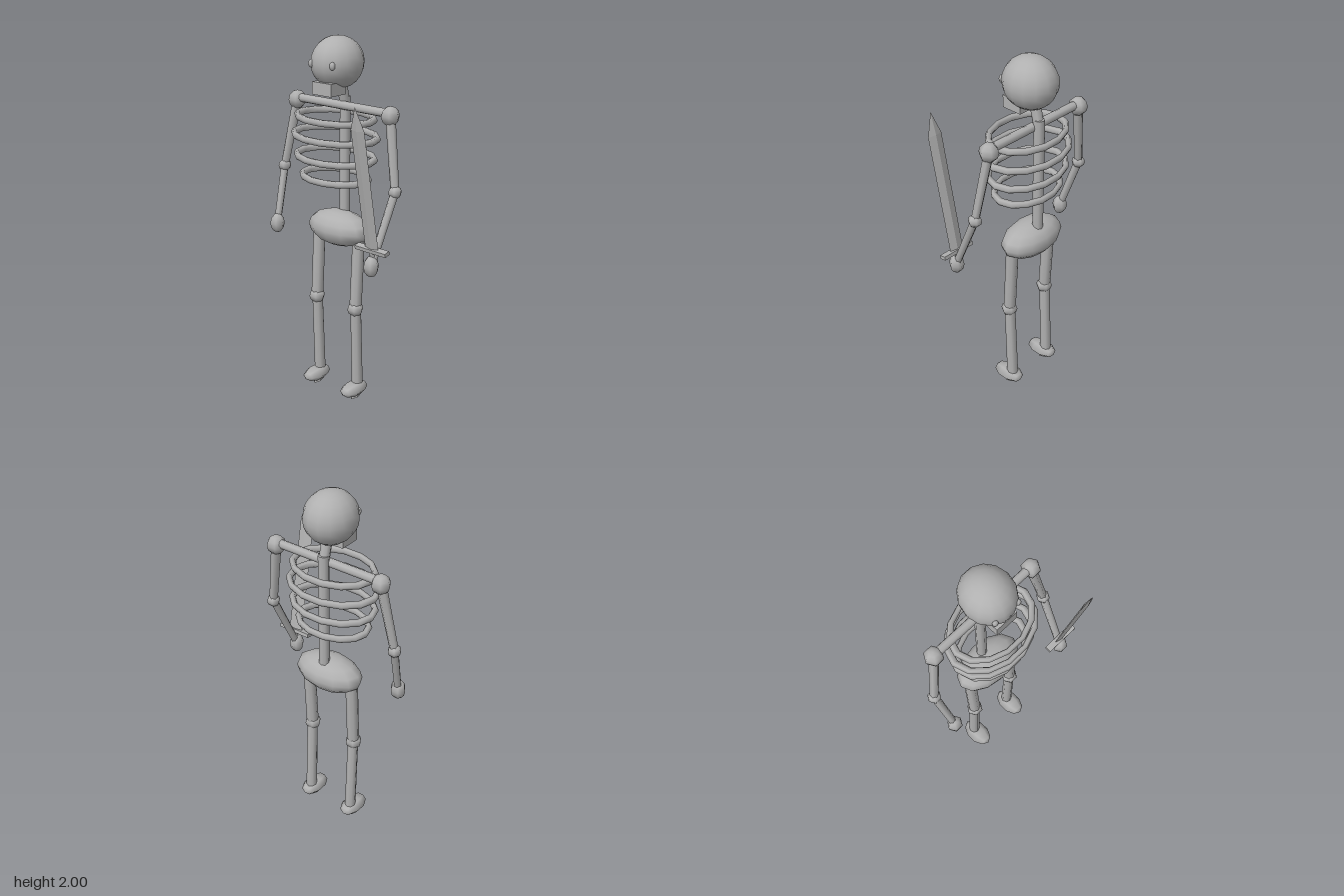
import * as THREE from 'three';

const bone = new THREE.MeshStandardMaterial({ color: 0xb0b0b0 });
bone.name = 'boneGrey';
const CX = -0.025; // centre line of the body

export function createModel() {
  const model = new THREE.Group();
  model.name = 'skeletonWarrior';

  function add(name, geometry, x = 0, y = 0, z = 0, parent = model) {
    const mesh = new THREE.Mesh(geometry, bone);
    mesh.name = name;
    mesh.position.set(x, y, z);
    parent.add(mesh);
    return mesh;
  }

  // Scaled sphere
  function ball(name, p, r, w = 6, h = 6) {
    const g = new THREE.SphereGeometry(1, w, h).scale(r[0], r[1], r[2]);
    return add(name, g, ...p);
  }

  // Straight round bone between two points
  function rod(name, a, b, ra, rb = ra, sides = 8) {
    const from = new THREE.Vector3(...a), to = new THREE.Vector3(...b);
    const dir = to.clone().sub(from);
    const mesh = add(name, new THREE.CylinderGeometry(rb, ra, dir.length(), sides));
    mesh.position.copy(from).add(to).multiplyScalar(0.5);
    mesh.quaternion.setFromUnitVectors(new THREE.Vector3(0, 1, 0), dir.normalize());
    return mesh;
  }

  const flat = (g) => {
    const f = g.toNonIndexed();
    f.computeVertexNormals();
    return f;
  };

  // Head
  ball('skull', [CX, 1.865, -0.067], [0.133, 0.135, 0.145], 14, 12);
  for (const s of [-1, 1]) {
    ball(s > 0 ? 'leftEye' : 'rightEye', [CX + s * 0.071, 1.865, 0.053], [0.016, 0.021, 0.014], 8, 6);
  }
  add('jaw', new THREE.BoxGeometry(0.127, 0.065, 0.115), CX, 1.743, -0.002);

  // Spine, neck and collar
  rod('spine', [CX, 0.98, -0.127], [CX, 1.685, -0.127], 0.028);
  rod('neck', [CX, 1.65, -0.125], [CX, 1.79, -0.09], 0.027);
  rod('collarBone', [-0.34, 1.64, -0.1], [0.292, 1.64, -0.1], 0.023);

  // Rib hoops: height and outer half width
  [[1.587, 0.241], [1.49, 0.261], [1.378, 0.246], [1.27, 0.214]].forEach(([y, r], i) => {
    const g = new THREE.TorusGeometry(r - 0.019, 0.019, 6, 14).rotateX(Math.PI / 2).scale(1, 1, 0.74);
    add('rib' + (i + 1), g, CX, y, -0.05);
  });

  ball('pelvis', [CX, 0.978, -0.085], [0.197, 0.097, 0.117], 12, 8);

  // Arms: shoulder, elbow, hand
  const arms = {
    right: [[-0.342, 1.628, -0.102], [-0.409, 1.257, -0.065], [-0.38, 0.95, 0.031]],
    left: [[0.292, 1.628, -0.102], [0.36, 1.257, -0.065], [0.346, 0.902, 0.098]],
  };
  for (const [side, [shoulder, elbow, hand]] of Object.entries(arms)) {
    ball(side + 'Shoulder', shoulder, [0.05, 0.05, 0.05]);
    ball(side + 'Elbow', elbow, [0.036, 0.034, 0.036]);
    ball(side + 'Hand', hand, [0.043, 0.055, 0.04]);
    rod(side + 'UpperArm', shoulder, elbow, 0.026, 0.022, 6);
    rod(side + 'Forearm', elbow, hand, 0.022, 0.02, 6);
  }

  // Legs
  for (const s of [-1, 1]) {
    const side = s > 0 ? 'left' : 'right';
    const x = CX + s * 0.14;
    rod(side + 'Thigh', [x, 0.96, -0.08], [x, 0.548, -0.058], 0.033);
    ball(side + 'Knee', [x, 0.548, -0.056], [0.046, 0.042, 0.044]);
    rod(side + 'Shin', [x, 0.548, -0.06], [x, 0.05, -0.08], 0.029, 0.031);

    // Foot with its long axis forward
    const foot = new THREE.SphereGeometry(1, 6, 5).rotateX(Math.PI / 2).scale(0.06, 0.04, 0.094);
    add(side + 'Foot', foot, x, 0.063, -0.05);

    // Slanted heel end under the foot
    const heel = new THREE.CylinderGeometry(0.03, 0.03, 0.06, 6).scale(1, 1, 1.65);
    const p = heel.attributes.position;
    for (let i = 0; i < p.count; i++) {
      if (p.getY(i) < 0) p.setY(i, -0.02 - p.getZ(i) * 0.46);
      else p.setZ(i, p.getZ(i) * 0.6);
    }
    add(side + 'Heel', flat(heel), x, 0.044, -0.077);
  }

  // Sword, leaning forward out of the left hand
  const sword = new THREE.Group();
  sword.name = 'sword';
  sword.position.set(0.346, 0.99, 0.094);
  sword.rotation.x = 0.188;
  model.add(sword);
  const blade = flat(new THREE.CylinderGeometry(0.042, 0.042, 0.64, 4).scale(1, 1, 0.25));
  add('blade', blade, 0, 0.32, 0, sword);
  const tip = flat(new THREE.ConeGeometry(0.042, 0.118, 4).scale(1, 1, 0.25));
  add('bladeTip', tip, 0, 0.699, 0, sword);
  add('guard', new THREE.BoxGeometry(0.194, 0.02, 0.036), 0, 0, 0, sword);
  add('grip', new THREE.CylinderGeometry(0.015, 0.015, 0.1, 6), 0, -0.05, 0, sword);

  return model;
}
